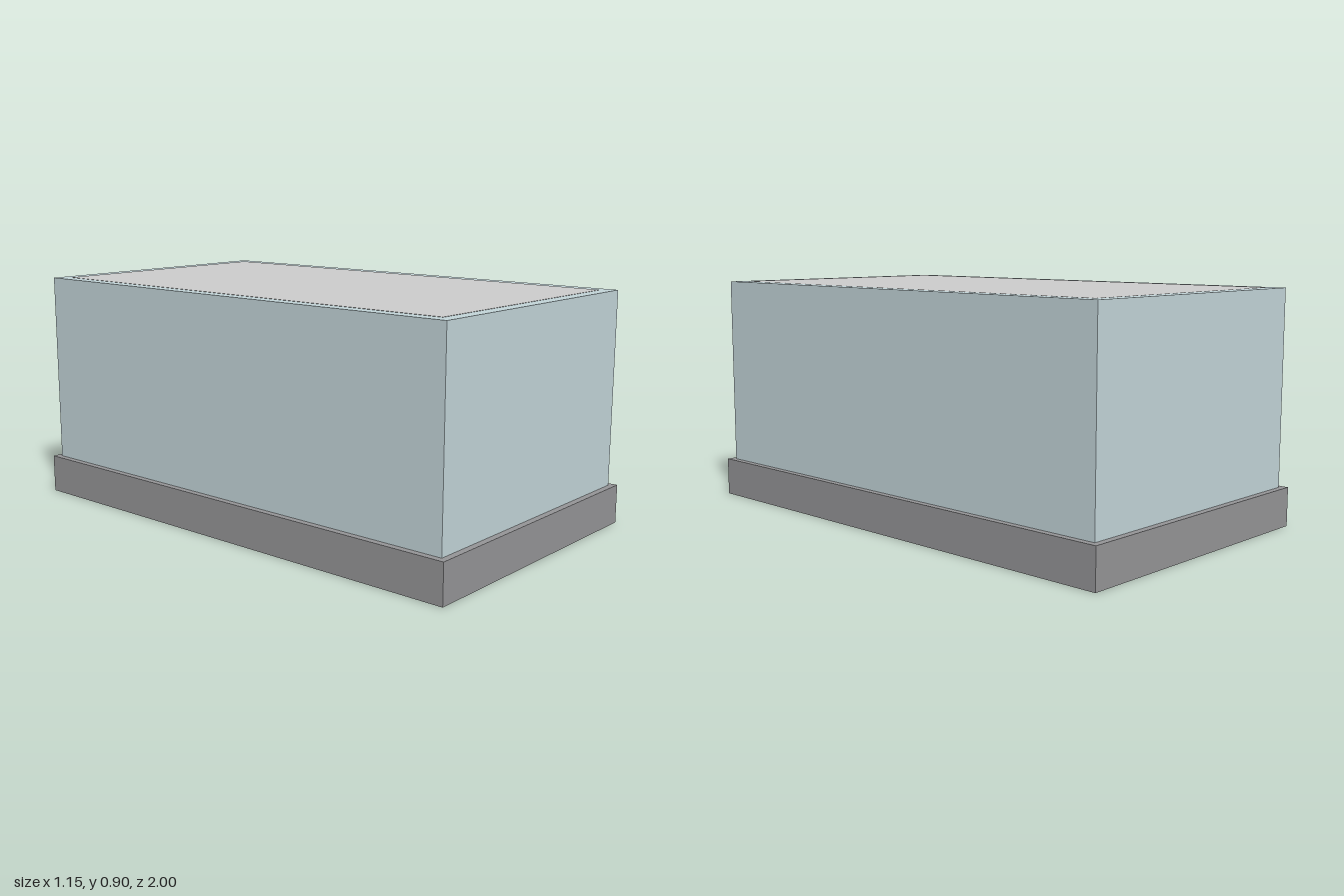
import * as THREE from 'three';

// Adds a named box standing on height y
function addBlock(group, name, color, [w, h, d], y) {
  const mesh = new THREE.Mesh(
    new THREE.BoxGeometry(w, h, d),
    new THREE.MeshStandardMaterial({ color })
  );
  mesh.name = name;
  mesh.position.y = y + h / 2;
  group.add(mesh);
}

export function createModel() {
  const group = new THREE.Group();
  group.name = 'building';

  // Dark plinth, slightly wider than the body
  addBlock(group, 'base', 0x949496, [1.15, 0.15, 2], 0);

  // Blue-grey main volume
  addBlock(group, 'body', 0xc2d4d8, [1.1, 0.75, 1.95], 0.15);

  // Grey roof panel, let in almost flush with the top
  addBlock(group, 'roofPanel', 0xcccccc, [1.0, 0.02, 1.85], 0.881);

  return group;
}
